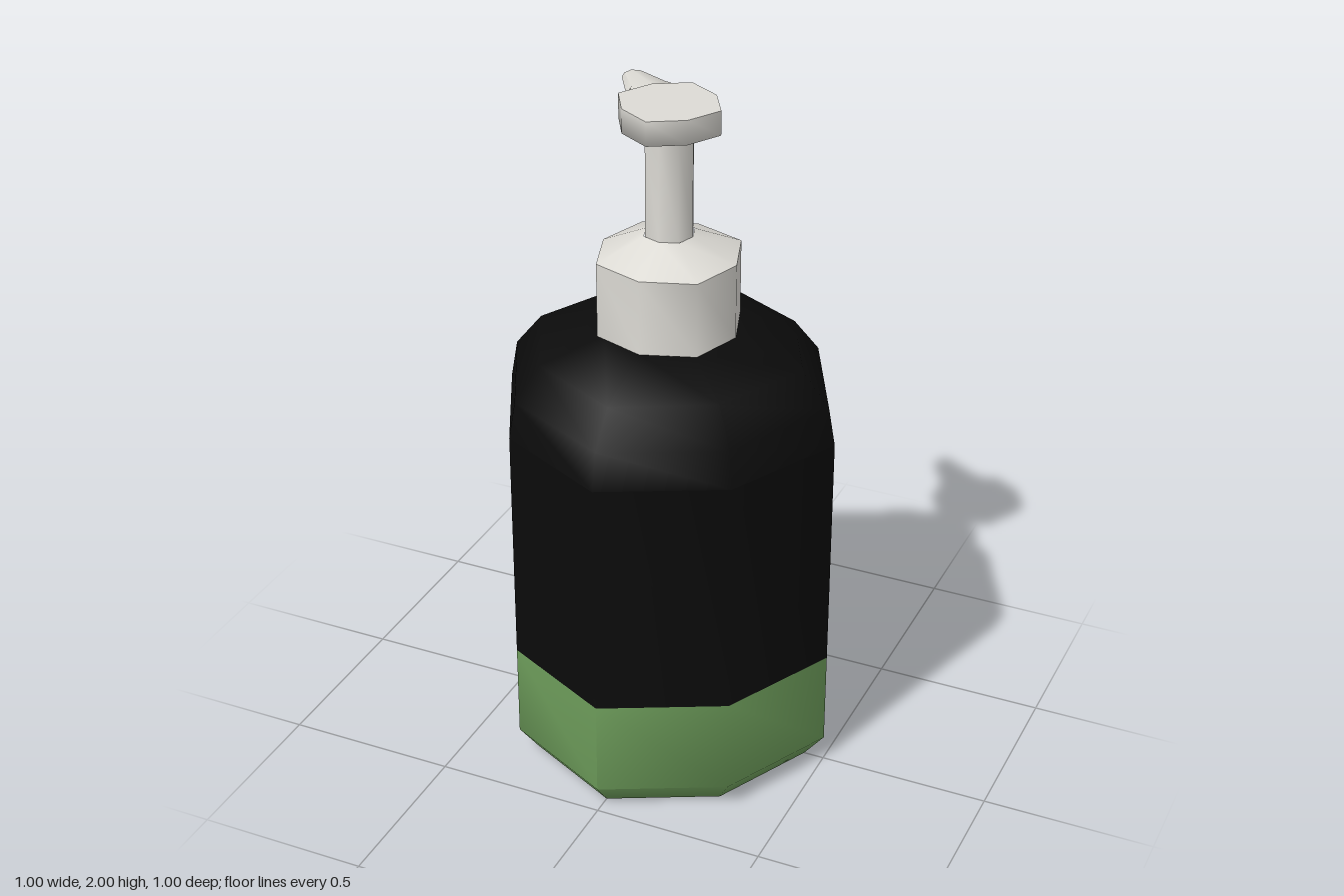
import * as THREE from 'three';
import { toCreasedNormals } from 'three/addons/utils/BufferGeometryUtils.js';

const mat = (color) => new THREE.MeshStandardMaterial({ color });

// Eight-sided turned part; corners lie on the axes, diagonal corners scaled by diag
function turned(name, profile, diag, material, crease = 1.0, start = 0, sides = 8) {
  const points = profile.map(([r, y]) => new THREE.Vector2(r, y));
  const geo = new THREE.LatheGeometry(points, sides, start, (sides * Math.PI) / 4);
  const pos = geo.attributes.position;
  for (let i = 0; i < pos.count; i++) {
    const x = pos.getX(i), z = pos.getZ(i);
    const k = Math.abs(x * z) > 1e-6 ? diag : 1;
    pos.setXYZ(i, x * k, pos.getY(i), z * k);
  }
  const mesh = new THREE.Mesh(toCreasedNormals(geo, crease), material);
  mesh.name = name;
  return mesh;
}

// Tapering spout lofted along +z through bevelled eight-point sections
function spoutGeometry() {
  // distance, half width, bottom, top, forward bow of the middle
  const stations = [
    [0.08, 0.1, 1.93, 1.999, 0],
    [0.106, 0.106, 1.93, 1.999, 0],
    [0.16, 0.064, 1.943, 1.997, 0],
    [0.284, 0.032, 1.956, 1.981, 0.012],
    [0.286, 0, 1.968, 1.969, 0.012],
  ];
  const section = [[1, 0], [0.75, 0.8], [0, 1], [-0.75, 0.8], [-1, 0], [-0.75, -0.8], [0, -1], [0.75, -0.8]];
  const n = section.length, verts = [], index = [];
  stations.forEach(([d, w, lo, hi, bow], s) => {
    section.forEach(([a, b], j) => {
      verts.push(a * w, (lo + hi) / 2 + (b * (hi - lo)) / 2, d + bow * (1 - Math.abs(a)));
      if (s === 0) return;
      const k = (j + 1) % n, p = (s - 1) * n, q = s * n;
      index.push(p + j, p + k, q + k, p + j, q + k, q + j);
    });
  });
  const geo = new THREE.BufferGeometry();
  geo.setAttribute('position', new THREE.Float32BufferAttribute(verts, 3));
  geo.setIndex(index);
  return toCreasedNormals(geo, 1.0);
}

export function createModel() {
  const model = new THREE.Group();
  model.name = 'soapDispenser';
  const green = mat(0x6f9f5c), black = mat(0x0b0b0b), red = mat(0xc06060), white = mat(0xdddbd5);
  const wall = [[0.5, 0.36], [0.5, 1.07]];

  // Bottle: base, wall with a two-facet label at the back, shoulder
  model.add(
    turned('base', [[0, 0], [0.44, 0], [0.5, 0.075], [0.5, 0.36]], 0.947, green),
    turned('label', wall, 0.947, red, 1.0, Math.PI, 2),
    turned('bottleWall', wall, 0.947, black, 1.0, Math.PI * 1.5, 6),
    turned('shoulder', [[0.5, 1.07], [0.48, 1.18], [0.4, 1.28], [0.2, 1.34], [0, 1.34]], 0.947, black)
  );

  // Pump: collar, stem, head and spout
  model.add(
    turned('collar', [[0.2, 1.34], [0.2, 1.56], [0.07, 1.62]], 1.06, white),
    turned('stem', [[0.07, 1.615], [0.07, 1.91]], 1, white),
    turned('pumpHead', [[0.07, 1.905], [0.15, 1.93], [0.15, 2], [0, 2]], 0.9, white, 1.4)
  );
  const spout = new THREE.Mesh(spoutGeometry(), white);
  spout.name = 'spout';
  spout.rotation.y = Math.PI * 1.25;
  model.add(spout);
  return model;
}
